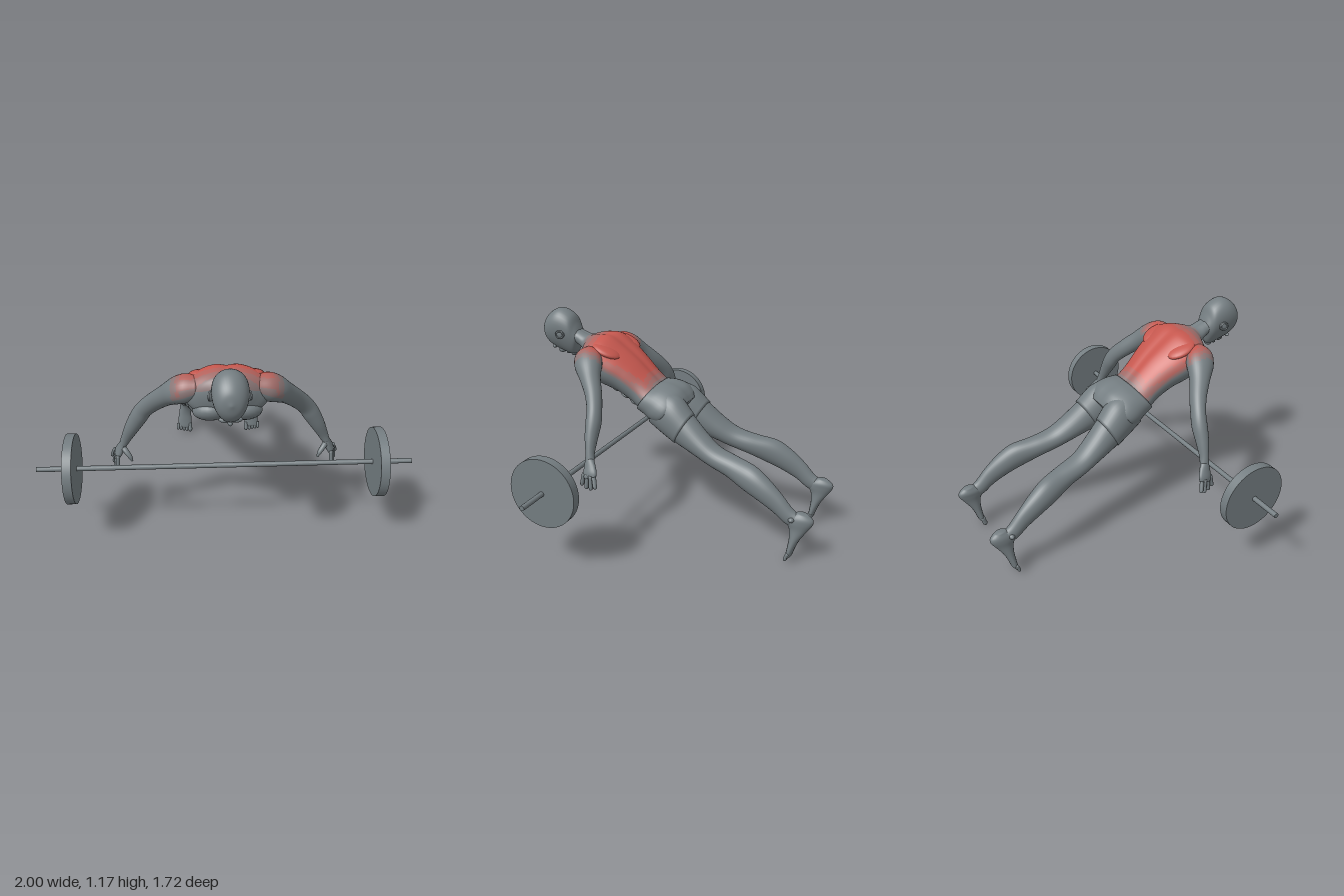
import * as THREE from 'three';

const V = (x, y, z) => new THREE.Vector3(x, y, z);
const mat = (name, color) => Object.assign(new THREE.MeshStandardMaterial({ color }), { name });

// Ring in a slanted plane: back point (zt, yt), belly point (zb, yb), half width w
const ring = (x, zt, yt, zb, yb, w, taper = 0) => ({
  c: V(x, (yt + yb) / 2, (zt + zb) / 2), u: V(w, 0, 0), v: V(0, (yt - yb) / 2, (zt - zb) / 2), taper,
});

// Rings around a path of [x, y, z, radiusAcross, radiusAlongRef]
function limbRings(pts, ref) {
  const p = pts.map((a) => V(a[0], a[1], a[2]));
  return pts.map((a, i) => {
    const t = p[Math.min(i + 1, p.length - 1)].clone().sub(p[Math.max(i - 1, 0)]).normalize();
    const v = ref.clone().addScaledVector(t, -ref.dot(t)).normalize();
    const u = v.clone().cross(t);
    return { c: p[i], u: u.multiplyScalar(a[3]), v: v.multiplyScalar(a[4] ?? a[3]), taper: 0 };
  });
}

// Smooth closed skin through rings; pick(point, upness) chooses a material index
function loft(rings, seg, steps, pick = () => 0, groove = 0) {
  const curve = (k) => new THREE.CatmullRomCurve3(rings.map((r) => r[k]), false, 'catmullrom', 0.5);
  const [C, U, W] = ['c', 'u', 'v'].map(curve);
  const T = curve('c');
  T.points = rings.map((r) => V(r.taper, 0, 0));
  const pos = [], buckets = [];
  for (let i = 0; i <= steps; i++) {
    const c = C.getPoint(i / steps), u = U.getPoint(i / steps), v = W.getPoint(i / steps);
    const taper = T.getPoint(i / steps).x;
    for (let j = 0; j < seg; j++) {
      const a = (j / seg) * Math.PI * 2, s = Math.sin(a), co = Math.cos(a);
      const dip = s > 0 ? 1 - groove * Math.exp(-((co / 0.16) ** 2)) : 1;
      const q = c.clone().addScaledVector(u, co * (1 + taper * s)).addScaledVector(v, s * dip);
      pos.push(q.x, q.y, q.z);
    }
  }
  const n = pos.length / 3;
  [0, 1].forEach((t) => pos.push(...C.getPoint(t).toArray()));
  const m = rings.length >> 1;
  const flip = rings[m].u.clone().cross(rings[m].v).dot(rings[m].c.clone().sub(rings[m - 1].c)) > 0;
  const tri = (k, a, b, c) => (buckets[k] ??= []).push(a, flip ? c : b, flip ? b : c);
  for (let j = 0; j < seg; j++) {
    const k = (j + 1) % seg;
    for (let i = 0; i < steps; i++) {
      const a = i * seg + j, b = i * seg + k, c = a + seg, d = b + seg;
      const mid = V(pos[a * 3] + pos[d * 3], pos[a * 3 + 1] + pos[d * 3 + 1], pos[a * 3 + 2] + pos[d * 3 + 2]).multiplyScalar(0.5);
      const g = pick(mid, Math.sin(((j + 0.5) / seg) * Math.PI * 2));
      tri(g, a, c, b);
      tri(g, b, c, d);
    }
    tri(0, n, j, k);
    tri(0, n + 1, steps * seg + k, steps * seg + j);
  }
  const geo = new THREE.BufferGeometry();
  geo.setAttribute('position', new THREE.Float32BufferAttribute(pos, 3));
  geo.setIndex(buckets.flat());
  let start = 0;
  buckets.forEach((b, k) => { geo.addGroup(start, b.length, k); start += b.length; });
  geo.computeVertexNormals();
  return geo;
}

// How strongly the back muscles are highlighted, as a material index 0..4
function highlight(p, up) {
  const w = 0.1 + 0.1 * THREE.MathUtils.clamp((p.z - 0.17) / 0.25, 0, 1);
  const s = Math.min((p.z - 0.09) / 0.09, (0.58 - p.z) / 0.14, (w + 0.085 - Math.abs(p.x)) / 0.09, (up - 0.05) / 0.35);
  return Math.round(THREE.MathUtils.clamp(s, 0, 1) * 4);
}

export function createModel() {
  const root = new THREE.Group();
  const grey = mat('grey', 0x747d81);
  const tones = [grey, mat('faint red', 0x8a7676), mat('soft red', 0xa06c69), mat('medium red', 0xb4625c), mat('strong red', 0xc6584f)];
  const add = (name, geo, material = grey, parent = root) => {
    const m = new THREE.Mesh(geo, material);
    m.name = name;
    parent.add(m);
    return m;
  };
  const blob = (name, p, r, tilt = 0, yaw = 0) => {
    const m = add(name, new THREE.SphereGeometry(1, 20, 14));
    m.position.set(...p);
    m.scale.set(...r);
    m.rotation.set(tilt, yaw, 0);
  };

  // Torso with neck
  add('torso', loft([
    ring(0, 0.66, 1.07, 0.65, 0.98, 0.055), ring(0, 0.61, 1.05, 0.615, 0.962, 0.058),
    ring(0, 0.56, 1.035, 0.58, 0.93, 0.075), ring(0, 0.525, 1.045, 0.56, 0.87, 0.14),
    ring(0, 0.47, 1.055, 0.54, 0.825, 0.2), ring(0, 0.4, 1.05, 0.5, 0.795, 0.215),
    ring(0, 0.31, 0.99, 0.42, 0.765, 0.2), ring(0, 0.235, 0.93, 0.34, 0.735, 0.175),
    ring(0, 0.16, 0.86, 0.265, 0.69, 0.157), ring(0, 0.1, 0.812, 0.215, 0.655, 0.16),
    ring(0, 0.04, 0.8, 0.17, 0.63, 0.165),
  ], 72, 90, highlight, 0.08), tones);

  // Head, ears and face
  add('head', loft([
    ring(0, 0.625, 1.045, 0.63, 0.98, 0.05), ring(0, 0.645, 1.09, 0.65, 0.925, 0.063, 0.12),
    ring(0, 0.67, 1.14, 0.68, 0.905, 0.074, 0.25), ring(0, 0.72, 1.17, 0.735, 0.92, 0.082, 0.22),
    ring(0, 0.765, 1.172, 0.785, 0.937, 0.083, 0.15), ring(0, 0.81, 1.147, 0.825, 0.963, 0.073, 0.08),
    ring(0, 0.843, 1.11, 0.85, 1.0, 0.048), ring(0, 0.86, 1.06, 0.86, 1.05, 0.006),
  ], 40, 48));
  blob('nose', [0, 0.925, 0.755], [0.014, 0.018, 0.027], 0.25);
  blob('lips', [0, 0.915, 0.71], [0.024, 0.01, 0.014]);
  blob('chin', [0, 0.912, 0.675], [0.025, 0.014, 0.017]);
  for (const s of [-1, 1]) {
    blob('brow', [s * 0.03, 0.95, 0.788], [0.026, 0.012, 0.012], 0, s * 0.3);
    blob('ear', [s * 0.084, 1.035, 0.715], [0.009, 0.025, 0.027], 0, s * 0.3);
    const rim = add('earRim', new THREE.TorusGeometry(0.02, 0.005, 8, 20));
    rim.position.set(s * 0.09, 1.035, 0.715);
    rim.rotation.y = Math.PI / 2 + s * 0.3;
  }

  // Chest and abdominal muscles
  for (const s of [-1, 1]) {
    blob('chestMuscle', [s * 0.085, 0.845, 0.505], [0.088, 0.05, 0.075], -0.45, s * 0.2);
    for (let i = 0; i < 3; i++) blob('abdominal', [s * 0.036, 0.75 - i * 0.033, 0.375 - i * 0.058], [0.034, 0.016, 0.03], -0.5);
    blob('shoulderBlade', [s * 0.125, 0.985, 0.385], [0.06, 0.025, 0.085], -0.4, s * 0.2);
    root.children.at(-1).material = tones[4];
  }

  // Shorts
  add('shorts', loft([
    ring(0, 0.1, 0.819, 0.222, 0.645, 0.17), ring(0, 0.04, 0.818, 0.175, 0.62, 0.183),
    ring(0, -0.02, 0.798, 0.125, 0.59, 0.198), ring(0, -0.055, 0.765, 0.07, 0.585, 0.19),
    ring(0, -0.075, 0.73, 0.02, 0.6, 0.13),
  ], 48, 24, undefined, 0.06));

  for (const s of [-1, 1]) {
    const side = s > 0 ? 'left' : 'right';
    add(side + 'ShortsLeg', loft([
      ring(s * 0.095, 0.02, 0.79, 0.13, 0.6, 0.085), ring(s * 0.1, -0.05, 0.762, 0.05, 0.553, 0.097),
      ring(s * 0.115, -0.13, 0.682, -0.035, 0.51, 0.09),
    ], 36, 16));

    // Leg
    add(side + 'Leg', loft([
      ring(s * 0.105, -0.08, 0.715, 0, 0.54, 0.085), ring(s * 0.115, -0.13, 0.674, -0.04, 0.515, 0.085),
      ring(s * 0.135, -0.22, 0.592, -0.155, 0.472, 0.078), ring(s * 0.153, -0.3, 0.537, -0.26, 0.43, 0.07),
      ring(s * 0.17, -0.41, 0.507, -0.365, 0.393, 0.064), ring(s * 0.197, -0.52, 0.482, -0.465, 0.347, 0.062),
      ring(s * 0.212, -0.6, 0.433, -0.55, 0.31, 0.054), ring(s * 0.222, -0.68, 0.364, -0.64, 0.262, 0.04),
      ring(s * 0.226, -0.745, 0.295, -0.705, 0.215, 0.035), ring(s * 0.227, -0.79, 0.27, -0.75, 0.2, 0.03),
    ], 32, 60));

    // Foot with toes on the ground
    add(side + 'Foot', loft([
      ring(s * 0.222, -0.77, 0.287, -0.825, 0.28, 0.02), ring(s * 0.223, -0.72, 0.262, -0.853, 0.255, 0.034),
      ring(s * 0.225, -0.705, 0.235, -0.852, 0.228, 0.036), ring(s * 0.226, -0.728, 0.195, -0.825, 0.185, 0.034),
      ring(s * 0.228, -0.735, 0.14, -0.792, 0.132, 0.04), ring(s * 0.23, -0.73, 0.085, -0.77, 0.078, 0.046),
      ring(s * 0.231, -0.725, 0.045, -0.758, 0.04, 0.046), ring(s * 0.231, -0.727, 0.03, -0.75, 0.028, 0.04),
    ], 28, 36));
    blob(side + 'AnkleBone', [s * 0.235, 0.25, -0.745], [0.038, 0.018, 0.02]);
    for (let i = 0; i < 5; i++) {
      const r = i ? 0.0095 : 0.014, x = s * (0.195 + i * 0.0195 + (i ? 0.004 : 0)), tip = r + i * 0.004;
      add(side + 'Toe', loft(limbRings([
        [x, 0.06, -0.742, r], [x, tip + 0.018, -0.735, r], [x, tip, -0.73, r], [x, tip - r * 0.9, -0.727, r * 0.4],
      ], V(0, 0, 1)), 10, 10));
    }

    // Arm
    add(side + 'Arm', loft(limbRings([
      [s * 0.13, 0.965, 0.485, 0.05, 0.045], [s * 0.19, 0.95, 0.465, 0.075, 0.068], [s * 0.24, 0.925, 0.435, 0.076, 0.066],
      [s * 0.3, 0.875, 0.39, 0.056, 0.054], [s * 0.365, 0.81, 0.335, 0.045, 0.049],
      [s * 0.42, 0.75, 0.3, 0.04, 0.046], [s * 0.455, 0.695, 0.287, 0.041, 0.046], [s * 0.495, 0.625, 0.28, 0.034, 0.038],
      [s * 0.53, 0.555, 0.27, 0.024, 0.027], [s * 0.55, 0.51, 0.262, 0.026, 0.02], [s * 0.56, 0.49, 0.258, 0.02, 0.015],
    ], V(s, 1, 0)), 32, 60, (p, u) => (Math.abs(p.x) < 0.3 && p.z > 0.36 ? Math.min(highlight(p, 1), highlight(V(0, 0, 0.3), u)) : 0)), tones);

    // Open hand
    add(side + 'Palm', loft(limbRings([
      [s * 0.545, 0.525, 0.266, 0.024, 0.02], [s * 0.562, 0.49, 0.256, 0.037, 0.02],
      [s * 0.578, 0.46, 0.248, 0.044, 0.019], [s * 0.588, 0.437, 0.243, 0.04, 0.014],
    ], V(s, 0.4, 0.25)), 20, 16));
    for (let i = 0; i < 4; i++) {
      const k = i / 3, x = 0.578 + 0.022 * k, z = 0.282 - 0.07 * k, len = [0.9, 1, 0.95, 0.7][i];
      const ex = 0.582 + 0.04 * k, ez = 0.298 - 0.105 * k;
      const at = (t, r) => [s * (x + (ex - x) * t), 0.455 - 0.078 * len * t, z + (ez - z) * t, r];
      add(side + 'Finger', loft(limbRings([at(0, 0.012), at(0.5, 0.0115), at(0.9, 0.01), at(1, 0.004)], V(s, 0, 0.1)), 10, 10));
    }
    add(side + 'Thumb', loft(limbRings([
      [s * 0.55, 0.505, 0.27, 0.016], [s * 0.53, 0.485, 0.292, 0.015], [s * 0.51, 0.46, 0.305, 0.012], [s * 0.5, 0.436, 0.31, 0.005],
    ], V(0, 0.3, 1)), 12, 12));

    // Weight plate
    const plate = add(side + 'Plate', new THREE.CylinderGeometry(0.186, 0.186, 0.048, 64));
    plate.rotation.z = Math.PI / 2;
    plate.position.set(s * 0.812, 0.436, 0.37);
  }

  // Barbell rod
  const bar = add('bar', new THREE.CylinderGeometry(0.0135, 0.0135, 2, 24));
  bar.rotation.z = Math.PI / 2;
  bar.position.set(0, 0.436, 0.37);
  return root;
}
